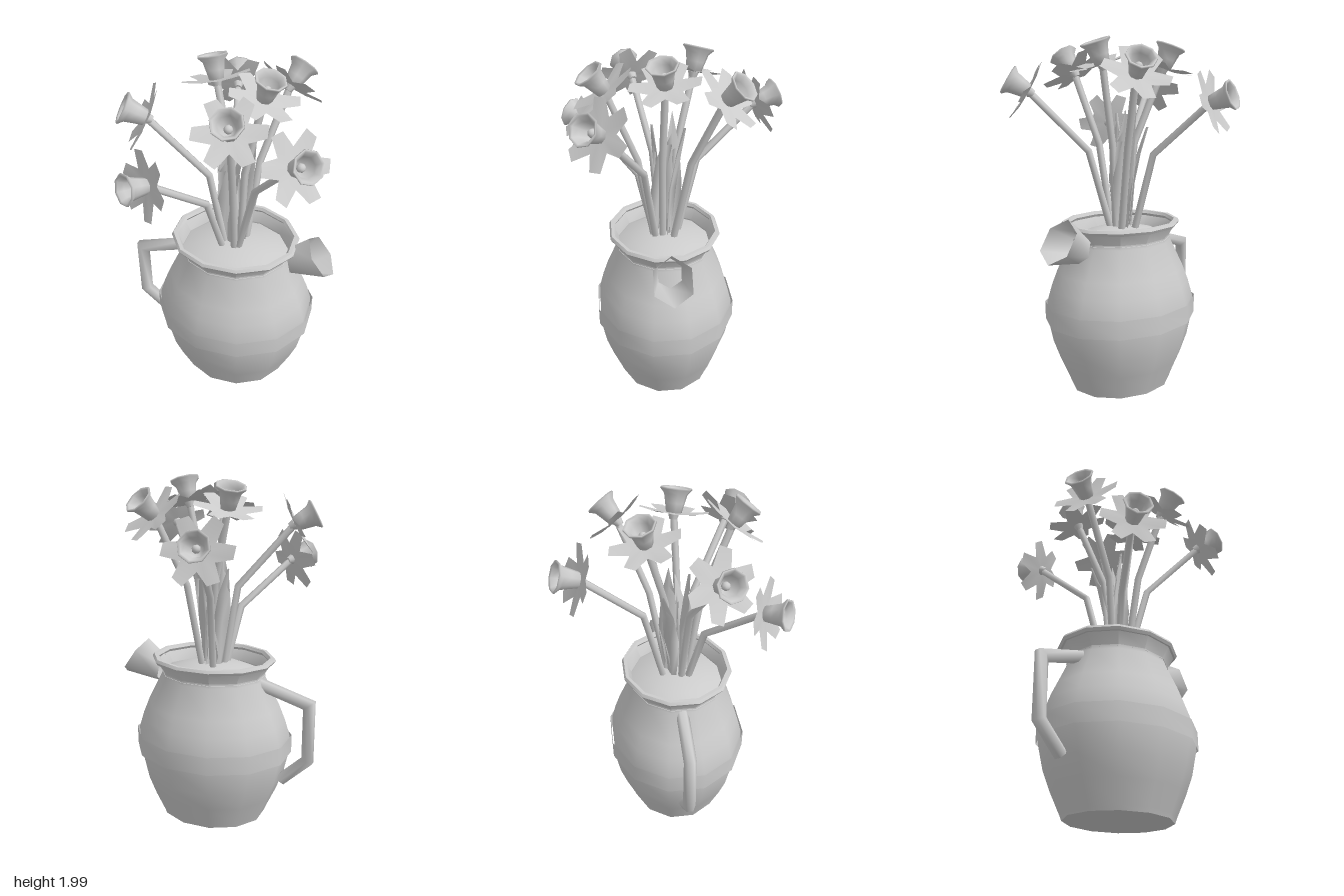
import * as THREE from 'three';
import { toCreasedNormals } from 'three/addons/utils/BufferGeometryUtils.js';

const CX = 0.02, CZ = 0.05, SQUASH = 0.868;
const v = (x, y, z) => new THREE.Vector3(x, y, z);

export function createModel() {
  const model = new THREE.Group();
  model.name = 'jugOfFlowers';
  const clay = new THREE.MeshStandardMaterial({ color: 0xcccccc, side: THREE.DoubleSide });
  clay.name = 'pale grey';

  function add(parent, name, geometry) {
    const mesh = new THREE.Mesh(geometry, clay);
    mesh.name = name;
    parent.add(mesh);
    return mesh;
  }

  // Twelve-sided turned shape; profile gives half-widths across the flats
  function turned(points) {
    const k = 1 / Math.cos(Math.PI / 12);
    const g = new THREE.LatheGeometry(points.map(([r, y]) => new THREE.Vector2(r * k, y)), 12, Math.PI / 12);
    return toCreasedNormals(g, 0.8);
  }

  // Skin over rings of equal length
  function loft(rings) {
    const n = rings[0].length, pos = [], idx = [];
    rings.forEach(r => r.forEach(p => pos.push(p.x, p.y, p.z)));
    for (let i = 0; i < rings.length - 1; i++) {
      for (let j = 0; j < n; j++) {
        const a = i * n + j, b = i * n + (j + 1) % n;
        idx.push(a, b, a + n, b, b + n, a + n);
      }
    }
    const g = new THREE.BufferGeometry();
    g.setAttribute('position', new THREE.Float32BufferAttribute(pos, 3));
    g.setIndex(idx);
    g.computeVertexNormals();
    return g;
  }

  // Mitred bar along a bent path
  function bentBar(points, radius, sides, side) {
    const rings = points.map((p, i) => {
      const before = p.clone().sub(points[Math.max(i - 1, 0)]).normalize();
      const after = points[Math.min(i + 1, points.length - 1)].clone().sub(p).normalize();
      const t = before.clone().add(after).normalize();
      const u = side.clone().addScaledVector(t, -side.dot(t)).normalize();
      const w = t.clone().cross(u);
      const inner = i > 0 && i < points.length - 1;
      const mitre = inner ? 1 / Math.sqrt((1 + before.dot(after)) / 2) : 1;
      return Array.from({ length: sides }, (_, k) => {
        const a = k / sides * Math.PI * 2;
        return p.clone().addScaledVector(u, Math.cos(a) * radius).addScaledVector(w, Math.sin(a) * radius * mitre);
      });
    });
    return loft(rings);
  }

  // Jug body, band, rim and domed filling
  const jug = new THREE.Group();
  jug.name = 'jug';
  jug.position.set(CX, 0, CZ);
  jug.scale.z = SQUASH;
  model.add(jug);
  add(jug, 'body', turned([[0, 0.004], [0.305, 0.004], [0.315, 0.03], [0.37, 0.15], [0.412, 0.26], [0.443, 0.4],
    [0.443, 0.505], [0.415, 0.6], [0.38, 0.69], [0.3, 0.855], [0.296, 0.88], [0.342, 0.955]]));
  add(jug, 'band', turned([[0.456, 0.4], [0.456, 0.505]]));
  const lip = [];
  for (let i = 0; i <= 6; i++) {
    const a = -i / 6 * Math.PI * 2;
    lip.push([0.336 + 0.02 * Math.cos(a), 0.957 - 0.018 * Math.sin(a)]);
  }
  add(jug, 'rim', turned(lip));
  add(jug, 'filling', turned([[0.3, 0.87], [0.2, 0.912], [0.1, 0.933], [0, 0.94]]));

  // Handle
  add(model, 'handle', bentBar([v(-0.27, 0.835, 0.045), v(-0.565, 0.745, 0.045),
    v(-0.565, 0.41, 0.045), v(-0.41, 0.265, 0.045)], 0.036, 6, v(0, 0, 1)));

  // Hexagonal flared spout, open at both ends
  const spoutRing = (x, y, r, ux, uy) => Array.from({ length: 6 }, (_, k) => {
    const a = k / 6 * Math.PI * 2;
    return v(x + ux * r * Math.cos(a), y + uy * r * Math.cos(a), CZ - r * Math.sin(a) * SQUASH);
  });
  add(model, 'spout', loft([spoutRing(0.35, 0.86, 0.085, -0.2, 0.98), spoutRing(0.52, 0.923, 0.135, -0.57, 0.82)]));

  // Six broad, blunt petals, slightly cupped forward
  function petalGeometry() {
    const outline = [[-30, 0.1, 0.004], [-11, 0.18, 0.02], [10, 0.19, 0.022]];
    const pos = [0, 0, 0], idx = [];
    for (let i = 0; i < 6; i++) {
      outline.forEach(([deg, r, h]) => {
        const a = (deg + i * 60) * Math.PI / 180;
        pos.push(r * Math.cos(a), h, -r * Math.sin(a));
      });
    }
    const n = 18;
    for (let i = 0; i < n; i++) idx.push(0, 1 + i, 1 + (i + 1) % n);
    const g = new THREE.BufferGeometry();
    g.setAttribute('position', new THREE.Float32BufferAttribute(pos, 3));
    g.setIndex(idx);
    g.computeVertexNormals();
    return g;
  }
  const petals = petalGeometry();
  const cup = new THREE.LatheGeometry([[0.02, 0.004], [0.042, 0.006], [0.052, 0.055], [0.062, 0.1], [0.085, 0.125],
    [0.082, 0.134], [0.07, 0.128], [0.052, 0.1], [0.038, 0.03], [0, 0.025]].map(p => new THREE.Vector2(...p)), 8);
  const stigma = new THREE.SphereGeometry(0.023, 8, 6);
  const calyx = new THREE.CylinderGeometry(0.03, 0.02, 0.03, 8);

  // Flowers: stem foot (x, z), stem bend, petal centre, facing direction, spin
  const flowers = [
    [[-0.01, -0.03], [-0.04, 1.355, -0.14], [-0.115, 1.645, -0.465], [-0.025, 0.04, -0.11], 0.2],
    [[0.02, 0.02], [-0.02, 1.42, -0.02], [-0.135, 1.825, -0.13], [-0.03, 0.12, -0.03], 0.5],
    [[0.07, 0], [0.12, 1.4, -0.09], [0.235, 1.79, -0.245], [0.05, 0.085, -0.075], 0.1],
    [[0.05, 0.06], [0.075, 1.4, 0.06], [0.165, 1.845, 0.05], [0.04, 0.13, 0.02], 0.4],
    [[0.03, 0.11], [0.045, 1.4, 0.19], [0.08, 1.805, 0.35], [0.01, 0.09, 0.07], 0.25],
    [[0.05, 0.1], [0.16, 1.37, 0.165], [0.4, 1.7, 0.385], [0.08, 0.065, 0.075], 0.6],
    [[-0.04, 0.07], [-0.11, 1.38, 0.1], [-0.405, 1.73, 0.19], [-0.1, 0.055, 0.035], 0],
    [[-0.04, 0.11], [-0.1, 1.25, 0.185], [-0.32, 1.5, 0.445], [-0.08, 0.03, 0.11], 0.35],
  ];
  flowers.forEach(([foot, bend, centre, facing, spin]) => {
    const dir = v(...facing).normalize();
    add(model, 'stem', bentBar([v(foot[0], 0.92, foot[1]), v(...bend), v(...centre)], 0.02, 6, v(0.6, 0, 0.8)));
    const flower = new THREE.Group();
    flower.name = 'flower';
    flower.position.set(...centre);
    flower.quaternion.setFromUnitVectors(v(0, 1, 0), dir);
    add(flower, 'petals', petals).rotation.y = spin;
    add(flower, 'cup', cup);
    add(flower, 'stigma', stigma).position.y = 0.06;
    add(flower, 'calyx', calyx).position.y = -0.015;
    model.add(flower);
  });

  // Pointed leaves, folded along the midrib: x, z, height, turn, lean
  const leaves = [[-0.03, 0.06, 0.66, 0.3, 0.05], [0.03, 0, 0.72, 1.5, -0.08], [0.05, 0.03, 0.68, 2.6, 0.1],
    [0, 0.09, 0.62, -0.9, -0.08], [-0.03, 0.02, 0.58, 0.9, -0.1]];
  leaves.forEach(([x, z, h, turn, lean]) => {
    const rings = [[0, 0.022], [0.45, 0.05], [0.75, 0.036], [1, 0.001]].map(([t, w]) => [
      v(-w, t * h, lean * t * t + 0.008), v(0, t * h, lean * t * t - 0.006),
      v(w, t * h, lean * t * t + 0.008), v(0, t * h, lean * t * t - 0.001)]);
    const leaf = add(model, 'leaf', loft(rings));
    leaf.position.set(x, 0.92, z);
    leaf.rotation.y = turn;
  });
  return model;
}
